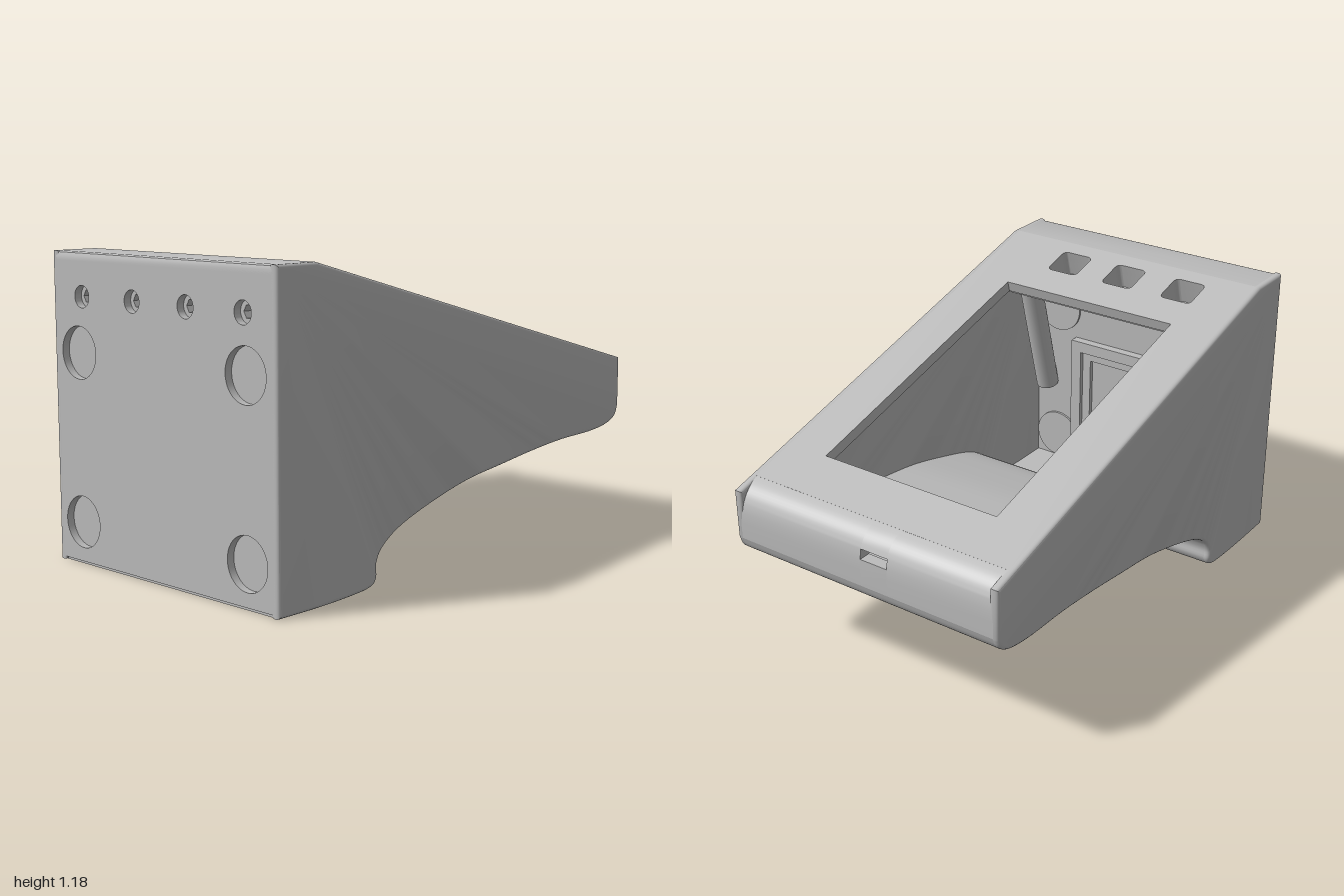
import * as THREE from 'three';
import { toCreasedNormals } from 'three/addons/utils/BufferGeometryUtils.js';

const grey = new THREE.MeshStandardMaterial({ color: 0xbcbcbc });
grey.name = 'grey plastic';

// Smooth curve through [z, y] points
const smooth = (pts, n) => new THREE.SplineCurve(pts.map(p => new THREE.Vector2(...p)))
  .getPoints(n).map(v => [v.x, v.y]);

// Height of the sloped top at depth z
const SLOPE = 0.268, slopeY = z => 1.185 - SLOPE * (0.81 - z);
const TILT = Math.atan(SLOPE), along = z => (0.81 - z) / Math.cos(TILT);

function roundedRect(x0, y0, x1, y1, r, Kind = THREE.Path) {
  const p = new Kind();
  p.moveTo(x0 + r, y0).lineTo(x1 - r, y0).quadraticCurveTo(x1, y0, x1, y0 + r)
    .lineTo(x1, y1 - r).quadraticCurveTo(x1, y1, x1 - r, y1)
    .lineTo(x0 + r, y1).quadraticCurveTo(x0, y1, x0, y1 - r)
    .lineTo(x0, y0 + r).quadraticCurveTo(x0, y0, x0 + r, y0);
  return p;
}
const rect = (x0, y0, x1, y1, Kind = THREE.Path) => new Kind([[x0, y0], [x1, y0], [x1, y1], [x0, y1]]
  .map(p => new THREE.Vector2(...p)));
const circle = (x, y, r, Kind = THREE.Path) => new Kind().absarc(x, y, r, 0, Math.PI * 2);
const hexagon = (x, y, r) => new THREE.Path([0, 1, 2, 3, 4, 5].map(i =>
  new THREE.Vector2(x + r * Math.cos(i * Math.PI / 3), y + r * Math.sin(i * Math.PI / 3))));

export function createModel() {
  const model = new THREE.Group();
  model.name = 'displayCase';

  const add = (name, geo, parent = model) => {
    const mesh = new THREE.Mesh(geo, grey);
    mesh.name = name;
    parent.add(mesh);
    return mesh;
  };
  // Flat plate with holes, from z0 to z1
  const plate = (name, shape, holes, z0, z1, parent) => {
    shape.holes.push(...holes);
    const geo = new THREE.ExtrudeGeometry(shape, { depth: z1 - z0, bevelEnabled: false, curveSegments: 20 });
    return add(name, toCreasedNormals(geo.translate(0, 0, z0), 0.6), parent);
  };
  // A [z, y] section swept across the width from x0 to x1
  const sweep = (name, pts, x0, x1, bevel = 0) => {
    const shape = new THREE.Shape(pts.map(([z, y]) => new THREE.Vector2(-z, y)));
    const geo = new THREE.ExtrudeGeometry(shape, {
      depth: x1 - x0 - 2 * bevel, bevelEnabled: bevel > 0, bevelThickness: bevel,
      bevelSize: bevel, bevelOffset: -bevel, bevelSegments: 4,
    });
    geo.translate(0, 0, x0 + bevel).rotateY(Math.PI / 2);
    return add(name, toCreasedNormals(geo, 0.6), model);
  };

  const belly = smooth([[-1, 0.5], [-0.98, 0.455], [-0.92, 0.425], [-0.8, 0.408], [-0.6, 0.4],
    [-0.4, 0.38], [-0.2, 0.353], [0, 0.325], [0.2, 0.275], [0.38, 0.215], [0.48, 0.155],
    [0.513, 0.1], [0.513, 0.05], [0.55, 0.017], [0.7, 0.004], [0.85, 0]], 64);
  const lining = smooth([[0.85, 0.05], [0.56, 0.06], [0.563, 0.11], [0.52, 0.19], [0.4, 0.265],
    [0.2, 0.327], [0, 0.376], [-0.2, 0.404], [-0.4, 0.43], [-0.6, 0.45], [-0.8, 0.46],
    [-0.93, 0.48], [-0.95, 0.5]], 48);

  // Side walls, whose back corners stand out as small ears
  const side = [...belly, [1, 0], [1, 1.185], [0.81, 1.185], [-1, slopeY(-1)]];
  sweep('leftWall', side, 0.565, 0.605, 0.015);
  sweep('rightWall', side, -0.605, -0.565, 0.015);

  // Curved underside and foot
  sweep('underside', [...belly, ...lining], -0.58, 0.58);
  const base = plate('basePlate', rect(-0.58, -0.99, 0.58, -0.84, THREE.Shape),
    [rect(-0.06, -0.95, 0.05, -0.91)], 0, 0.05);
  base.rotation.x = -Math.PI / 2;

  // Rounded nose at the back with a cable slot
  const round = smooth([[-0.9, slopeY(-0.9)], [-0.945, 0.709], [-0.975, 0.683], [-0.992, 0.65]], 10);
  const low = [[-0.998, 0.61], [-1, 0.57], [-1, 0.5], [-0.95, 0.5], [-0.95, 0.61]];
  sweep('noseLeft', [...round, ...low, [-0.9, 0.65]], 0, 0.58);
  sweep('noseRight', [...round, ...low, [-0.9, 0.65]], -0.58, -0.12);
  sweep('noseAboveSlot', [...round, [-0.9, 0.65]], -0.12, 0);
  sweep('noseBelowSlot', low, -0.12, 0);

  // Top front edge
  sweep('topEdge', [[0.81, 1.185], [0.982, 1.185], [0.995, 1.18], [1, 1.167], [1, 1.15],
    [0.95, 1.13], [0.81, 1.125]], -0.58, 0.58);

  // Front wall with round recesses and screw holes
  const recesses = [[-0.455, 0.81], [0.45, 0.81], [-0.455, 0.165], [0.45, 0.165]];
  const screws = [-0.43, -0.14, 0.15, 0.44].map(x => [x, 1.02]);
  plate('frontWall', rect(-0.59, 0.012, 0.59, 1.16, THREE.Shape),
    [...recesses.map(([x, y]) => circle(x, y, 0.1)), ...screws.map(([x, y]) => circle(x, y, 0.042))], 0.95, 1);
  for (const [x, y] of recesses) plate('recessFloor', circle(x, y, 0.11, THREE.Shape), [], 0.94, 0.97);
  for (const [x, y] of screws) {
    plate('screwSeat', circle(x, y, 0.05, THREE.Shape), [hexagon(x, y, 0.026)], 0.93, 0.97);
    plate('screwHoleEnd', circle(x, y, 0.05, THREE.Shape), [], 0.92, 0.93);
  }
  // Stepped frame inside the front wall
  plate('innerFrame', rect(-0.36, 0.2, 0.36, 0.68, THREE.Shape), [rect(-0.31, 0.25, 0.31, 0.63)], 0.91, 0.951);
  plate('innerFrameStep', rect(-0.31, 0.25, 0.31, 0.63, THREE.Shape), [rect(-0.27, 0.29, 0.27, 0.59)], 0.93, 0.951);

  // Sloped top: local y runs towards the back, local z points outwards
  const top = new THREE.Group();
  top.name = 'slopedTop';
  top.position.set(0, 1.185, 0.81);
  top.rotation.x = -(Math.PI / 2 + TILT);
  model.add(top);
  const s0 = along(0.47), s1 = along(-0.71), end = along(-0.905);
  const buttons = () => [-0.322, -0.042, 0.225].map(x =>
    roundedRect(x - 0.07, along(0.745), x + 0.07, along(0.612), 0.025));
  plate('topPanel', rect(-0.58, 0, 0.58, end, THREE.Shape),
    [rect(-0.39, s0, 0.4, s1), ...buttons()], -0.045, 0, top);
  plate('screenLedge', rect(-0.57, 0.27, 0.57, end, THREE.Shape),
    [rect(-0.43, s0 - 0.04, 0.44, s1 + 0.04)], -0.085, -0.045, top);
  plate('buttonBlock', rect(-0.44, 0.03, 0.34, 0.245, THREE.Shape), buttons(), -0.11, -0.045, top);
  plate('buttonFloor', rect(-0.44, 0.03, 0.34, 0.245, THREE.Shape),
    [-0.322, -0.042, 0.225].map(x => circle(x, 0.137, 0.022)), -0.125, -0.11, top);

  // Screw posts square to the sloped top
  for (const sx of [-1, 1]) {
    const front = add('frontPost', new THREE.CylinderGeometry(0.05, 0.05, 0.75, 24));
    front.position.set(sx * 0.5, 0.79, 0.83);
    front.rotation.x = -TILT;
    const tube = plate('backPost', circle(0, 0, 0.045, THREE.Shape), [circle(0, 0, 0.018)], -0.18, 0);
    tube.position.set(sx * 0.49, 0.6, -0.85);
    tube.rotation.x = -(Math.PI / 2 + TILT);
  }
  return model;
}
